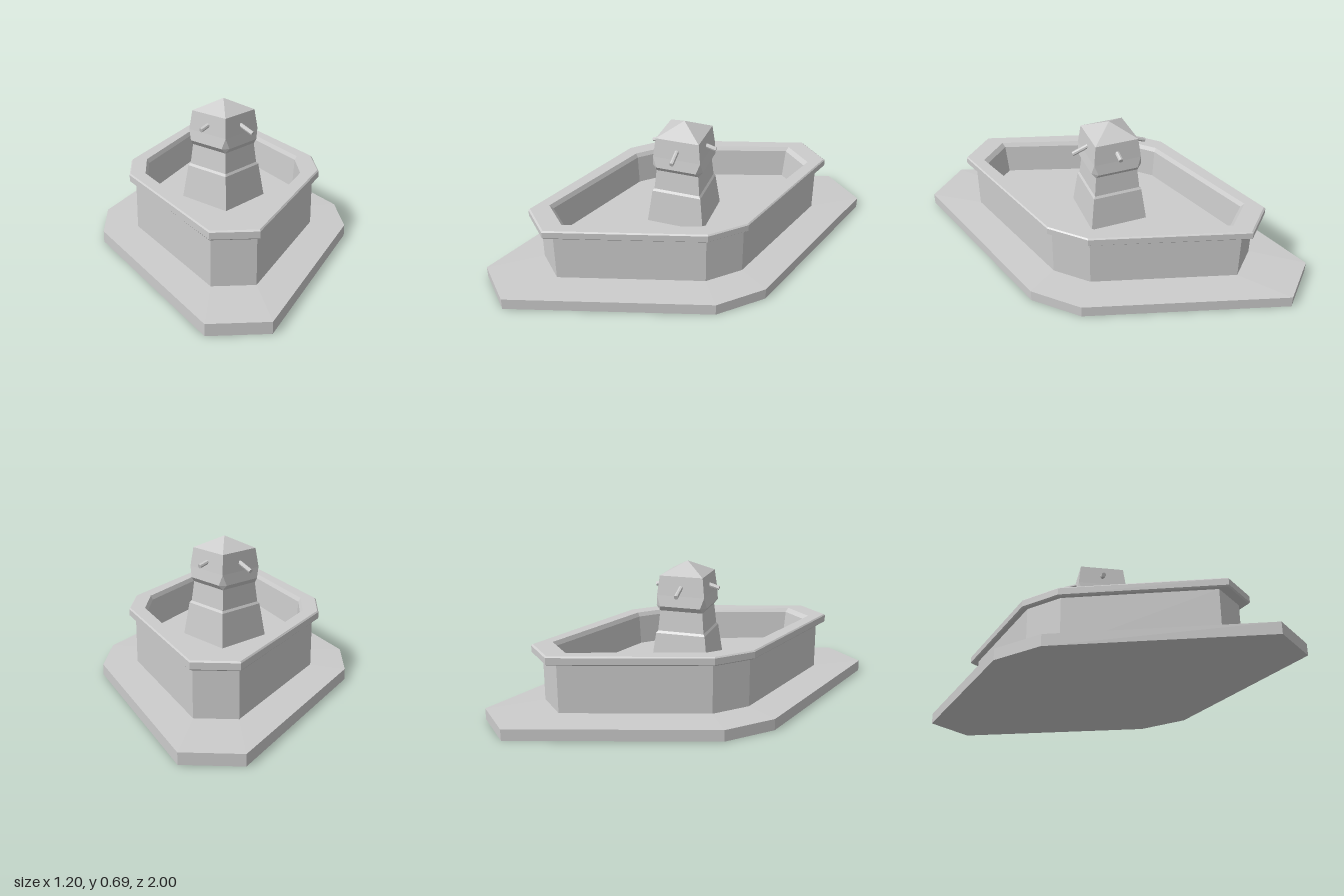
import * as THREE from 'three';

const material = new THREE.MeshStandardMaterial({ color: 0xcccccc, flatShading: true });

// Ring = [y, hx, hz, flatX, flatZ]: an eight-cornered lozenge with cut tips
function corners([y, hx, hz, fx, fz]) {
  return [
    [fx, y, hz], [hx, y, fz], [hx, y, -fz], [fx, y, -hz],
    [-fx, y, -hz], [-hx, y, -fz], [-hx, y, fz], [-fx, y, hz],
  ];
}

// Skin consecutive rings, listed from bottom outside up and over
function loft(name, rings) {
  const pos = [];
  const tri = (a, b, c) => {
    const ab = new THREE.Vector3(...b).sub(new THREE.Vector3(...a));
    const ac = new THREE.Vector3(...c).sub(new THREE.Vector3(...a));
    if (ab.cross(ac).length() > 1e-7) pos.push(...a, ...b, ...c);
  };
  for (let r = 0; r < rings.length - 1; r++) {
    const lo = corners(rings[r]), hi = corners(rings[r + 1]);
    for (let i = 0; i < 8; i++) {
      const j = (i + 1) % 8;
      tri(lo[i], lo[j], hi[j]);
      tri(lo[i], hi[j], hi[i]);
    }
  }
  const geo = new THREE.BufferGeometry();
  geo.setAttribute('position', new THREE.Float32BufferAttribute(pos, 3));
  geo.computeVertexNormals();
  const mesh = new THREE.Mesh(geo, material);
  mesh.name = name;
  return mesh;
}

// Square ring turned 45 degrees, with optional cut corners
const diamond = (y, r, cut = 0) => [y, r, r, cut, cut];

// Short pipe leaving a head face diagonally and pointing slightly down
function spout(sx, sz, reach, drop) {
  const start = new THREE.Vector3(sx * 0.07, 0.58, sz * 0.07);
  const end = new THREE.Vector3(sx * reach, 0.58 - drop, sz * reach);
  const dir = end.clone().sub(start);
  const mesh = new THREE.Mesh(new THREE.CylinderGeometry(0.011, 0.011, dir.length(), 8), material);
  mesh.position.copy(start).add(end).multiplyScalar(0.5);
  mesh.quaternion.setFromUnitVectors(new THREE.Vector3(0, 1, 0), dir.normalize());
  mesh.name = 'spout';
  return mesh;
}

export function createModel() {
  const model = new THREE.Group();
  model.name = 'fountain';

  // Stepped plinth with a gently sloping top
  model.add(loft('plinth', [
    [0, 0, 0, 0, 0],
    [0, 0.6, 1, 0.135, 0.132],
    [0.055, 0.6, 1, 0.135, 0.132],
    [0.063, 0.432, 0.72, 0.098, 0.098],
  ]));

  // Basin: outer wall, overhanging rim, inner wall and floor
  model.add(loft('basin', [
    [0.06, 0.432, 0.72, 0.098, 0.098],
    [0.305, 0.432, 0.72, 0.098, 0.098],
    [0.302, 0.455, 0.765, 0.103, 0.103],
    [0.308, 0.462, 0.772, 0.105, 0.105],
    [0.339, 0.462, 0.772, 0.105, 0.105],
    [0.345, 0.456, 0.764, 0.103, 0.103],
    [0.345, 0.385, 0.672, 0.092, 0.1],
    [0.325, 0.374, 0.654, 0.089, 0.097],
    [0.18, 0.364, 0.638, 0.086, 0.094],
    [0.18, 0, 0, 0, 0],
  ]));

  // Tapered pillar with a flared foot
  model.add(loft('pillar', [
    diamond(0.17, 0.206),
    diamond(0.345, 0.175),
    diamond(0.356, 0.164),
    diamond(0.46, 0.15),
  ]));

  // Pyramid-topped head with nicked lower corners
  model.add(loft('head', [
    diamond(0.457, 0),
    diamond(0.457, 0.152),
    diamond(0.482, 0.161, 0.019),
    diamond(0.535, 0.168),
    diamond(0.63, 0.152),
    diamond(0.69, 0),
  ]));

  // Four spouts, the pair on one diagonal reaching further
  for (const s of [1, -1]) {
    model.add(spout(s, s, 0.132, 0.033));
    model.add(spout(-s, s, 0.114, 0.017));
  }
  return model;
}
